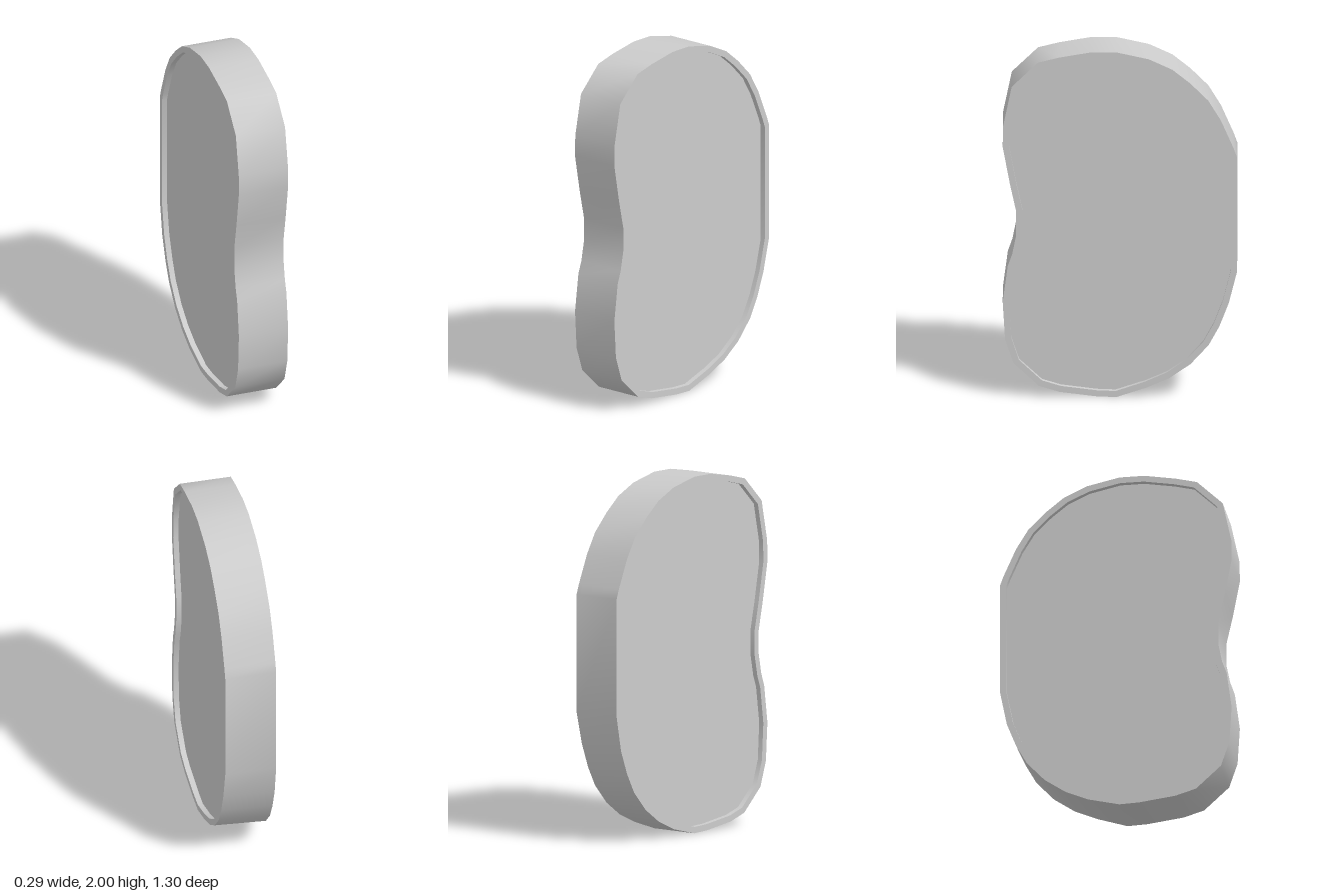
import * as THREE from 'three';
import { toCreasedNormals } from 'three/addons/utils/BufferGeometryUtils.js';

const WIDTH = 0.29, RIM = 0.035, RECESS = 0.03;

// kidney outline as [z, y], counter-clockwise from the top
const OUTLINE = [
  [0.16, 2], [0.02, 2], [-0.16, 1.96], [-0.29, 1.9], [-0.39, 1.82], [-0.49, 1.72], [-0.56, 1.605],
  [-0.63, 1.445], [-0.65, 1.39], [-0.65, 0.73], [-0.612, 0.535], [-0.56, 0.4], [-0.5, 0.29],
  [-0.4, 0.18], [-0.285, 0.1], [-0.155, 0.043], [0.02, 0], [0.13, 0.004], [0.335, 0.03], [0.45, 0.065],
  [0.59, 0.195], [0.637, 0.335], [0.65, 0.55], [0.622, 0.76], [0.597, 0.83], [0.575, 0.94],
  [0.575, 1.075], [0.61, 1.235], [0.65, 1.45], [0.648, 1.57], [0.6, 1.8], [0.455, 1.94], [0.335, 1.97],
].map(([z, y]) => new THREE.Vector2(z, y));

// move every corner inward by d along its mitred normal
function inset(points, d) {
  const n = points.length;
  const inward = (a, b) => new THREE.Vector2(a.y - b.y, b.x - a.x).normalize();
  return points.map((p, i) => {
    const n1 = inward(points[(i + n - 1) % n], p);
    const n2 = inward(p, points[(i + 1) % n]);
    const m = n1.clone().add(n2).normalize();
    return p.clone().addScaledVector(m, d / m.dot(n1));
  });
}

// extrude a z-y shape, centred across x
function slab(shape, width) {
  const geo = new THREE.ExtrudeGeometry(shape, { depth: width, bevelEnabled: false });
  geo.translate(0, 0, -width / 2);
  geo.rotateY(-Math.PI / 2);
  return geo;
}

export function createModel() {
  const group = new THREE.Group();
  const material = new THREE.MeshStandardMaterial({ color: 0xcccccc });
  const inner = inset(OUTLINE, RIM);

  // raised band around the edge
  const bandShape = new THREE.Shape(OUTLINE);
  bandShape.holes.push(new THREE.Path(inner));
  const bandGeo = slab(bandShape, WIDTH);

  // the lower back edge tucks in slightly on the left side
  const pos = bandGeo.attributes.position;
  for (let i = 0; i < pos.count; i++) {
    if (pos.getX(i) > 0 && pos.getY(i) < 0.65 && pos.getZ(i) < -0.1) {
      pos.setY(i, pos.getY(i) + 0.012);
      pos.setZ(i, pos.getZ(i) + 0.008);
    }
  }
  const band = new THREE.Mesh(toCreasedNormals(bandGeo, 0.8), material);
  band.name = 'rimBand';

  // recessed faces on both sides
  const panel = new THREE.Mesh(slab(new THREE.Shape(inner), WIDTH - 2 * RECESS), material);
  panel.name = 'recessedPanel';

  group.add(band, panel);
  return group;
}
